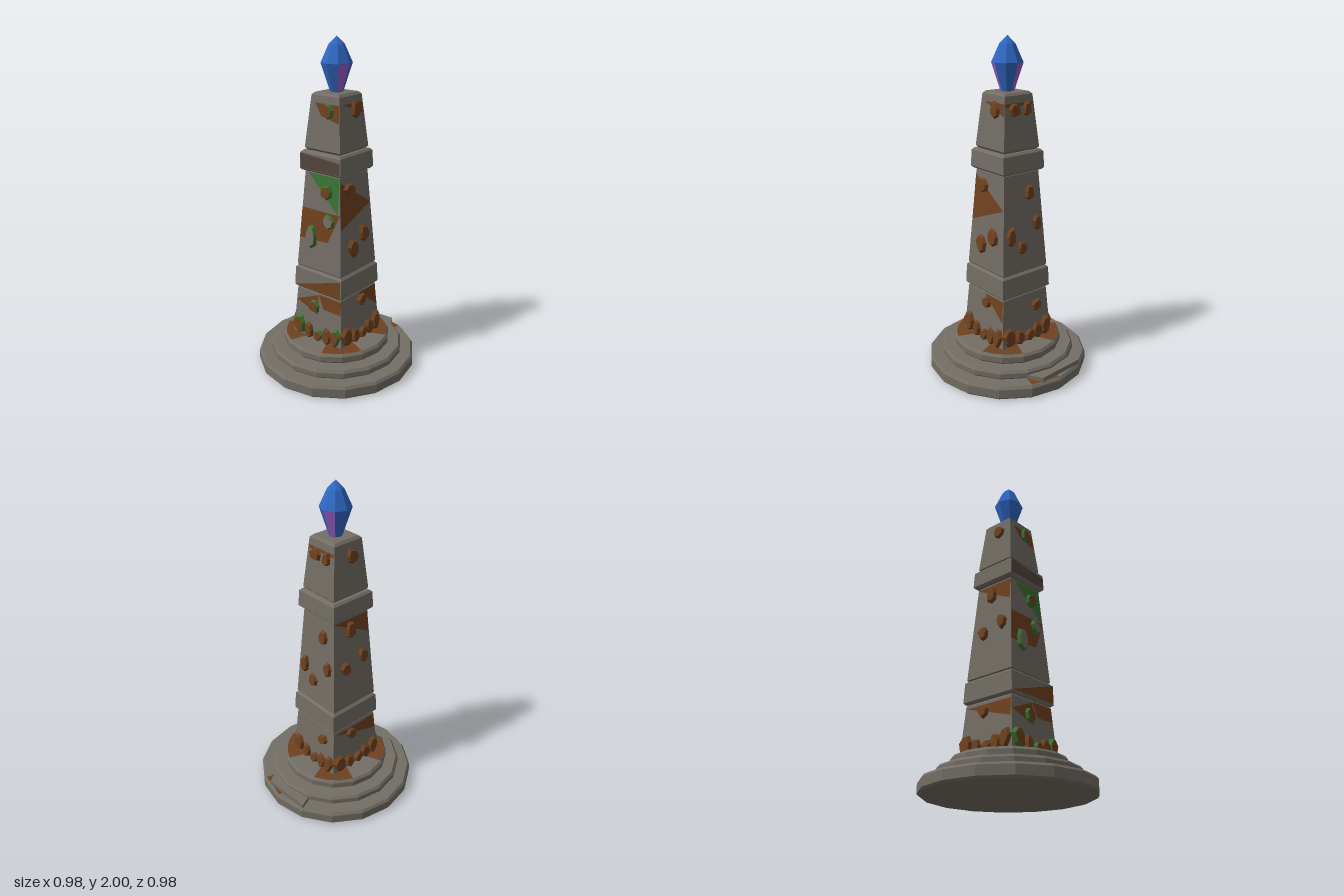
import * as THREE from 'three';

const mat = (color) => new THREE.MeshStandardMaterial({ color, flatShading: true });
const STONE = mat(0x736e65), BROWN = mat(0x70421f), MOSS = mat(0x3a7434);
const DARK = mat(0x54463e), BLUE = mat(0x2f68c4), PURPLE = mat(0x9a5fc8);

// Half width of the tapering shaft at a height
function halfWidth(y) {
  const [y0, w0, y1, w1] = y < 0.57 ? [0.195, 0.19, 0.5, 0.168]
    : y < 1.3 ? [0.65, 0.168, 1.24, 0.128] : [1.37, 0.13, 1.66, 0.1];
  return w0 + (w1 - w0) * (y - y0) / (y1 - y0);
}

function add(parent, name, geometry, material) {
  const mesh = new THREE.Mesh(geometry, material);
  mesh.name = name;
  parent.add(mesh);
  return mesh;
}

// Faceted solid of revolution from [radius, y] pairs, bottom to top
function turned(profile, sides, start = 0, length = Math.PI * 2) {
  return new THREE.LatheGeometry(profile.map(([r, y]) => new THREE.Vector2(r, y)), sides, start, length);
}

// Square block with bevelled top and bottom edges
function block(parent, name, w0, y0, w1, y1, material, bevel = 0.012) {
  const k = Math.SQRT2;
  const g = turned([[0, y0], [(w0 - bevel) * k, y0], [w0 * k, y0 + bevel],
    [w1 * k, y1 - bevel], [(w1 - bevel) * k, y1], [0, y1]], 4);
  return add(parent, name, g.rotateY(Math.PI / 4), material);
}

// Chunky flat stone lying against a wall; u runs across the wall
function rock(wall, u, y, rx, ry, mossy, depth = 0.045) {
  const seed = u * 37 + y * 53;
  const g = new THREE.CylinderGeometry(0.62, 1, depth, 7, 1).rotateX(Math.PI / 2);
  const p = g.attributes.position;
  for (let i = 0; i < p.count; i++) {
    const a = Math.atan2(p.getY(i), p.getX(i));
    const f = 1 + 0.12 * Math.sin(2 * a + seed) + 0.08 * Math.sin(3 * a + seed * 2);
    p.setXY(i, p.getX(i) * f * rx, p.getY(i) * f * ry);
  }
  const mats = mossy ? [MOSS, y > 0.8 && y < 1 ? STONE : BROWN, BROWN] : BROWN;
  const m = add(wall, 'rock', g, mats);
  m.position.set(u, y, halfWidth(y) - 0.002);
  m.rotation.set(-0.07, 0, 0);
}

// Thin stain on a wall, corners [u, y] counter-clockwise
function stain(wall, corners, material, offset = 0.002, depth = halfWidth) {
  const g = new THREE.BufferGeometry();
  const pos = corners.flatMap(([u, y]) => [u, y, depth(y) + offset]);
  g.setAttribute('position', new THREE.Float32BufferAttribute(pos, 3));
  const index = [];
  for (let i = 1; i < corners.length - 1; i++) index.push(0, i, i + 1);
  g.setIndex(index);
  g.computeVertexNormals();
  add(wall, 'stain', g, material);
}

export function createModel() {
  const model = new THREE.Group();
  model.name = 'crystalObelisk';

  // Three round steps
  [[0.49, 0, 0.08], [0.41, 0.08, 0.135], [0.33, 0.135, 0.195]].forEach(([r, y0, y1]) => {
    add(model, 'baseStep', turned([[0, y0], [r - 0.012, y0], [r, y0 + 0.012],
      [r, y1 - 0.015], [r - 0.012, y1], [0, y1]], 16), STONE);
  });
  // Brown sectors on the top step
  for (let i = 0; i < 4; i++) {
    const g = new THREE.CircleGeometry(0.317, 2, Math.PI / 8 + i * Math.PI / 2, Math.PI / 4);
    add(model, 'stepStain', g.rotateX(-Math.PI / 2), BROWN).position.y = 0.197;
  }
  // Broken slab on the back of the lowest step
  const outline = (pts) => new THREE.Shape(pts.map(([x, z]) => new THREE.Vector2(x, -z)));
  const slab = new THREE.ExtrudeGeometry(
    outline([[-0.19, -0.445], [-0.16, -0.375], [0.16, -0.375], [0.11, -0.46]]),
    { depth: 0.03, bevelEnabled: false }).rotateX(-Math.PI / 2);
  add(model, 'brokenSlab', slab, STONE).position.y = 0.078;
  const rust = new THREE.ShapeGeometry(outline([[0, -0.478], [0, -0.38], [0.16, -0.38], [0.178, -0.44]]));
  add(model, 'stepStain', rust.rotateX(-Math.PI / 2), BROWN).position.y = 0.082;

  // Tapering shaft and its two bands
  block(model, 'lowerShaft', 0.19, 0.19, 0.168, 0.505, STONE, 0.008);
  block(model, 'lowerBand', 0.181, 0.505, 0.176, 0.645, STONE);
  block(model, 'middleShaft', 0.168, 0.645, 0.128, 1.245, STONE, 0.008);
  block(model, 'upperBand', 0.152, 1.245, 0.147, 1.365, STONE);
  block(model, 'upperShaft', 0.13, 1.365, 0.1, 1.695, STONE, 0.014);

  // Walls: turn, then rocks as [u, y, rx, ry]
  const walls = [
    ['frontWall', 0, true, [[0.03, 1.6, 0.052, 0.055], [0.04, 1.14, 0.06, 0.055],
      [0.065, 0.97, 0.055, 0.055], [-0.065, 0.85, 0.062, 0.09], [-0.03, 0.41, 0.048, 0.06]]],
    ['rightWall', Math.PI / 2, false, [[0.03, 1.6, 0.052, 0.06], [-0.055, 1.155, 0.06, 0.055],
      [0.06, 0.865, 0.06, 0.065], [-0.045, 0.8, 0.055, 0.075], [0.02, 0.445, 0.052, 0.045]]],
    ['backWall', Math.PI, false, [[-0.04, 1.6, 0.05, 0.055], [0.05, 1.6, 0.04, 0.05],
      [0.05, 1.12, 0.045, 0.055], [0.1, 0.93, 0.035, 0.065], [-0.1, 0.88, 0.045, 0.07],
      [-0.02, 0.8, 0.045, 0.05], [0.08, 0.41, 0.05, 0.045]]],
    ['leftWall', -Math.PI / 2, false, [[0.02, 1.6, 0.055, 0.055], [-0.01, 1.16, 0.05, 0.065],
      [-0.06, 0.92, 0.045, 0.06], [0.08, 0.96, 0.045, 0.06], [-0.03, 0.44, 0.05, 0.05]]],
  ].map(([name, turn, mossy, rocks]) => {
    const wall = new THREE.Group();
    wall.name = name;
    wall.rotation.y = turn;
    model.add(wall);
    rocks.forEach((r) => rock(wall, ...r, mossy));
    // Rubble heaped along the foot
    [[-0.14, 0.055, 0.085], [-0.06, 0.042, 0.06], [0.015, 0.04, 0.05], [0.08, 0.045, 0.065], [0.145, 0.045, 0.08]]
      .forEach(([u, rx, ry], i) => rock(wall, u, 0.19 + ry * 0.85, rx, ry, mossy && i % 2 === 0, 0.05));
    return wall;
  });

  // Moss and rust stains
  const [front, right, back, left] = walls;
  stain(front, [[-0.1, 1.235], [0.127, 1.02], [0.127, 1.235]], MOSS);
  stain(front, [[-0.142, 1.02], [-0.155, 0.83], [0.06, 0.84], [0.142, 1.02]], BROWN);
  stain(front, [[0, 0.495], [0.04, 0.41], [0.172, 0.41], [0.167, 0.495]], BROWN);
  stain(front, [[-0.172, 0.42], [0, 0.36], [0, 0.49]], BROWN);
  stain(front, [[-0.02, 1.57], [0.108, 1.54], [0.1, 1.67], [-0.09, 1.67]], BROWN);
  stain(front, [[-0.175, 0.52], [0.175, 0.52], [0.175, 0.63]], BROWN, 0.003, () => 0.181);
  stain(front, [[-0.145, 1.26], [0.145, 1.26], [0.145, 1.33], [-0.145, 1.35]], DARK, 0.002, () => 0.152);
  stain(right, [[-0.128, 1.21], [-0.145, 0.93], [0.138, 1.04]], BROWN);
  stain(right, [[0, 0.495], [0.172, 0.36], [0.167, 0.495]], BROWN);
  stain(right, [[-0.1, 1.65], [0.105, 1.57], [0.1, 1.67], [-0.09, 1.67]], BROWN);
  stain(back, [[-0.1, 1.67], [-0.1, 1.62], [0.1, 1.62], [0.1, 1.67]], BROWN);
  stain(left, [[-0.128, 1.23], [0.13, 1.1], [0.128, 1.23]], BROWN);
  stain(left, [[-0.16, 0.48], [0.17, 0.38], [0.167, 0.48]], BROWN);

  // Eight-sided crystal with two purple facets
  add(model, 'crystal', turned([[0, 1.685], [0.036, 1.69], [0.09, 1.855], [0.045, 1.955], [0, 2]], 8), BLUE);
  [Math.PI / 4, Math.PI].forEach((start) => {
    add(model, 'crystalFacet', turned([[0.038, 1.69], [0.0915, 1.854]], 1, start, Math.PI / 4), PURPLE);
  });
  return model;
}
